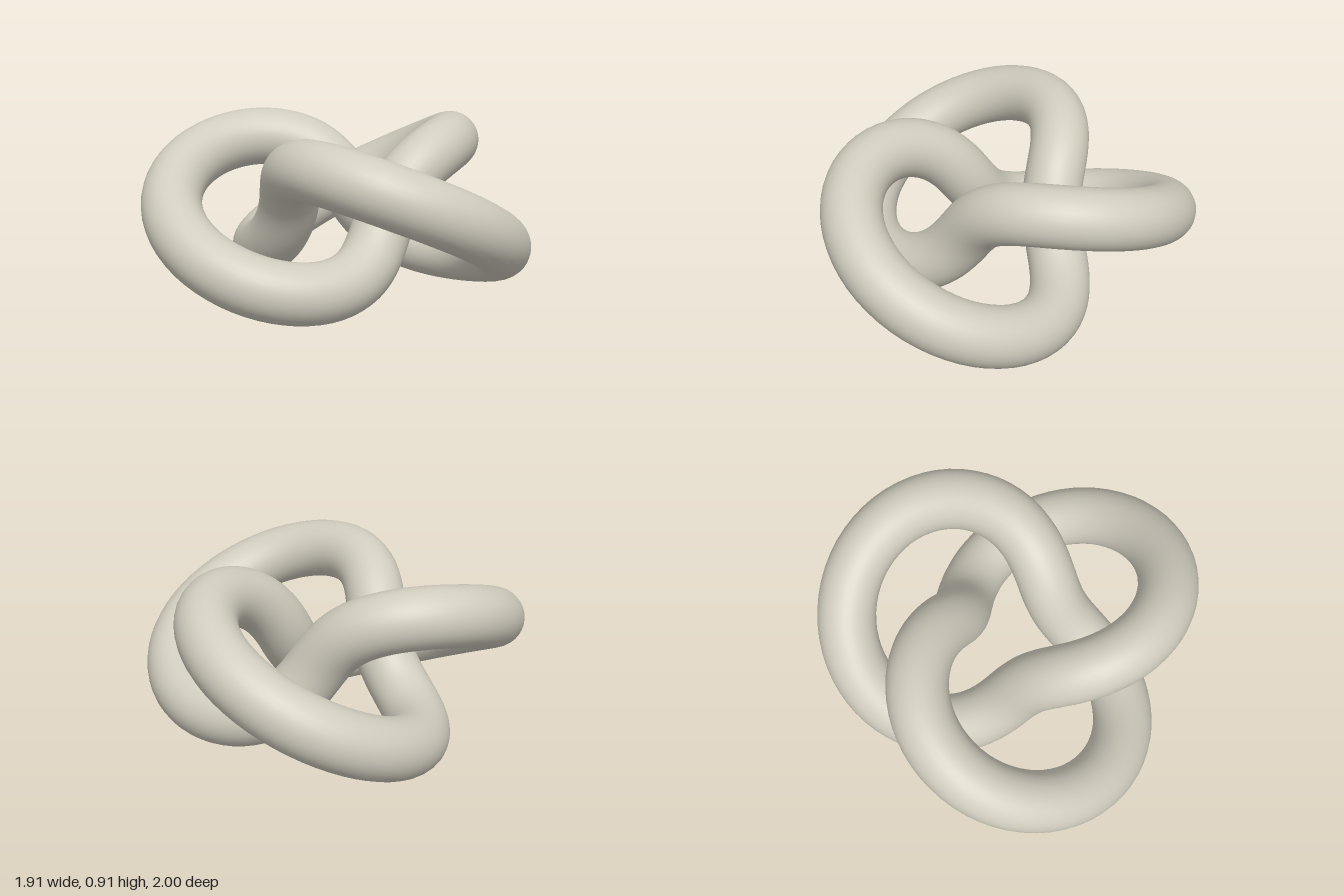
import * as THREE from 'three';

const STRAND = 0.2987; // half the knot radius, also its vertical swing
const TUBE = 0.155;

export function createModel() {
  const group = new THREE.Group();
  group.name = 'trefoilKnot';

  const stone = new THREE.MeshStandardMaterial({ color: 0xd0ccbe });
  stone.name = 'warmGrey';

  // Closed round tube winding twice around and three times through; negative q sets its handedness
  const geometry = new THREE.TorusKnotGeometry(STRAND * 2, TUBE, 200, 32, 2, -3);
  geometry.rotateX(-Math.PI / 2);
  // One lobe points to +x, so shift to centre the extents and rest on the ground
  geometry.translate(-0.317 * STRAND, STRAND + TUBE, 0);

  const knot = new THREE.Mesh(geometry, stone);
  knot.name = 'knotTube';
  group.add(knot);
  return group;
}
